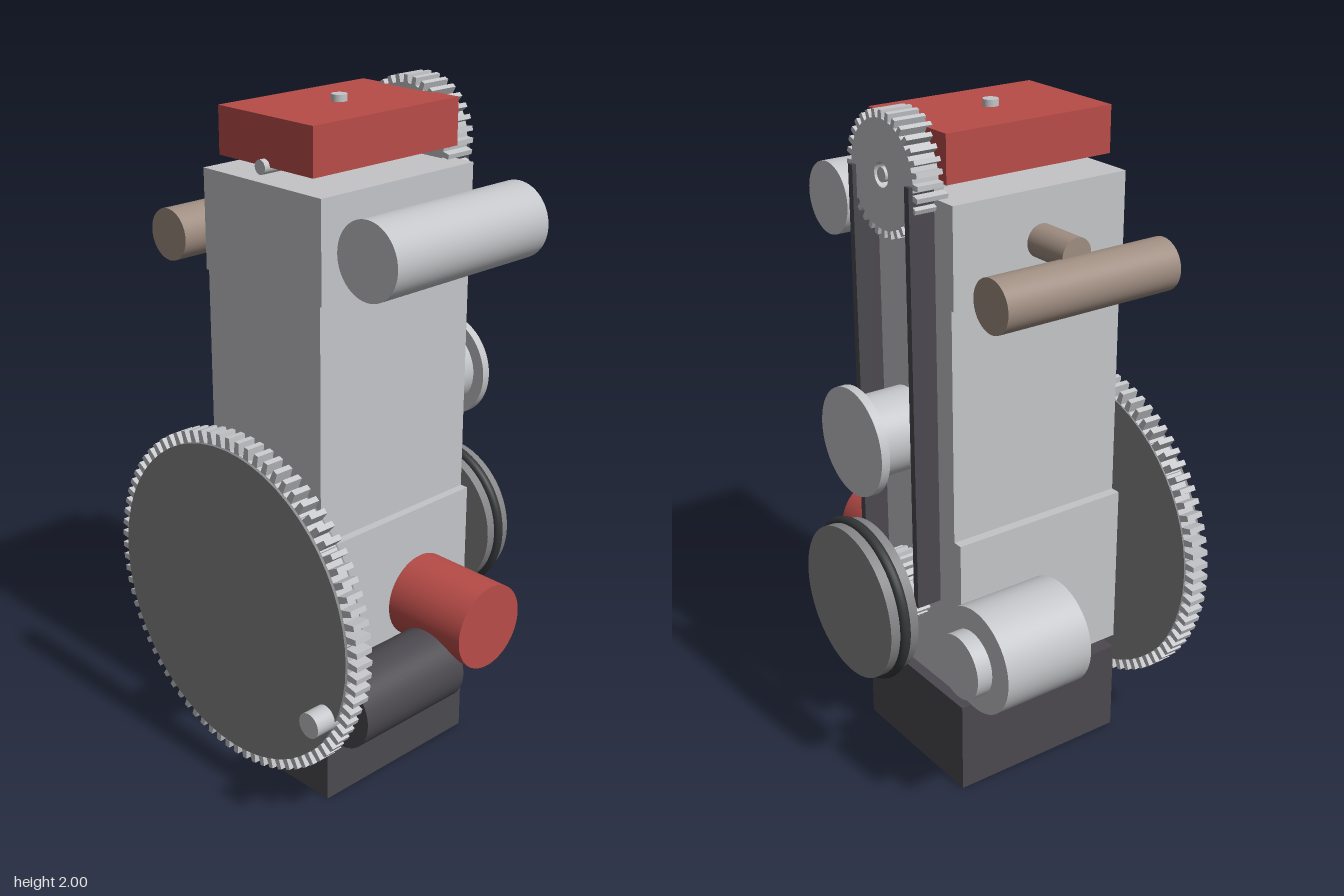
import * as THREE from 'three';

const mat = (name, color) => {
  const m = new THREE.MeshStandardMaterial({ color });
  m.name = name;
  return m;
};

export function createModel() {
  const group = new THREE.Group();
  const metal = mat('light metal', 0xc4c5c8);
  const steel = mat('mid grey steel', 0x858587);
  const dark = mat('dark grey', 0x4b494f);
  const rubber = mat('black rubber', 0x343638);
  const red = mat('red', 0xb84c48);
  const brown = mat('brown exhaust metal', 0x9f8d81);

  const CZ = 0.03; // centre line of the engine in z
  const CX = -0.01; // centre line of the block in x

  const add = (name, geometry, material) => {
    const mesh = new THREE.Mesh(geometry, material);
    mesh.name = name;
    group.add(mesh);
    return mesh;
  };

  // Box given by its extents on each axis
  const box = (name, [x0, x1], [y0, y1], [z0, z1], m) =>
    add(name, new THREE.BoxGeometry(x1 - x0, y1 - y0, z1 - z0), m)
      .position.set((x0 + x1) / 2, (y0 + y1) / 2, (z0 + z1) / 2);

  // Cylinder along an axis, from a to b; u and v are the other two coordinates in xyz order
  const rod = (name, axis, a, b, u, v, r, m) => {
    const g = new THREE.CylinderGeometry(r, r, b - a, 56);
    const c = (a + b) / 2;
    if (axis === 'x') g.rotateZ(-Math.PI / 2).translate(c, u, v);
    else if (axis === 'y') g.translate(u, c, v);
    else g.rotateX(Math.PI / 2).translate(u, v, c);
    add(name, g, m);
  };

  // Toothed ring along x with a round bore
  const gear = (name, x0, x1, y, rRoot, rTip, bore, teeth, m) => {
    const pts = [];
    const step = (Math.PI * 2) / teeth;
    for (let i = 0; i < teeth; i++) {
      for (const [f, r] of [[-0.28, rRoot], [-0.2, rTip], [0.2, rTip], [0.28, rRoot]]) {
        const a = (i + f) * step;
        pts.push(new THREE.Vector2(Math.cos(a) * r, Math.sin(a) * r));
      }
    }
    const shape = new THREE.Shape(pts);
    if (bore) shape.holes.push(new THREE.Path().absarc(0, 0, bore, 0, Math.PI * 2, true));
    const g = new THREE.ExtrudeGeometry(shape, { depth: x1 - x0, bevelEnabled: false, curveSegments: 24 });
    g.rotateY(Math.PI / 2).translate(x0, y, CZ);
    add(name, g, m);
  };

  // Stacked body
  const bodyX = [-0.295, 0.275];
  box('sump', bodyX, [0, 0.285], [-0.22, 0.28], dark);
  box('sumpSpacer', [0.02, 0.215], [0.285, 0.325], [-0.075, 0.14], metal);
  box('crankcase', bodyX, [0.325, 0.82], [-0.22, 0.28], metal);
  box('cylinderBlock', bodyX, [0.82, 1.505], [-0.19, 0.255], metal);
  box('cylinderHead', bodyX, [1.505, 1.79], [-0.2, 0.26], metal);
  box('headCover', [-0.278, 0.26], [1.83, 1.963], [-0.152, 0.213], red);

  // Cover stud, camshaft and cam gear
  rod('coverStud', 'y', 1.79, 1.982, CX, CZ, 0.022, metal);
  rod('studCollar', 'y', 1.79, 1.815, CX, CZ, 0.035, metal);
  rod('camshaft', 'x', -0.295, 0.34, 1.83, CZ, 0.02, metal);
  gear('camGear', 0.244, 0.34, 1.83, 0.148, 0.17, 0.034, 32, metal);

  // Timing belt runs and crank gear
  box('timingBeltFront', [0.275, 0.352], [0.6, 1.83], [0.155, 0.176], dark);
  box('timingBeltRear', [0.275, 0.352], [0.6, 1.83], [-0.117, -0.096], dark);
  gear('crankGear', 0.275, 0.345, 0.6, 0.088, 0.106, 0, 24, metal);

  // Tension pulley
  rod('tensionPulley', 'x', 0.275, 0.437, 1.098, CZ, 0.118, metal);
  rod('tensionPulleyFlange', 'x', 0.437, 0.463, 1.098, CZ, 0.157, metal);

  // Crank pulley with drive belt ring
  rod('crankshaftEnd', 'x', 0.34, 0.41, 0.6, CZ, 0.05, metal);
  rod('crankPulley', 'x', 0.405, 0.495, 0.6, CZ, 0.228, steel);
  const ring = add('pulleyBelt', new THREE.TorusGeometry(0.228, 0.016, 14, 72), rubber);
  ring.rotation.y = Math.PI / 2;
  ring.position.set(0.45, 0.6, CZ);

  // Flywheel with ring gear
  rod('flywheelShaft', 'x', -0.38, -0.295, 0.605, CZ, 0.081, metal);
  rod('flywheel', 'x', -0.438, -0.369, 0.605, CZ, 0.47, steel);
  gear('ringGear', -0.43, -0.374, 0.605, 0.47, 0.505, 0.44, 80, metal);

  // Starter motor and oil filter
  rod('starterMotor', 'x', -0.387, -0.005, 0.412, 0.423, 0.111, dark);
  rod('starterShaft', 'x', -0.5, -0.387, 0.412, 0.422, 0.037, metal);
  rod('oilFilter', 'z', 0.28, 0.551, 0.077, 0.54, 0.126, red);

  // Intake and exhaust manifolds
  rod('intakeManifold', 'x', ...bodyX, 1.663, 0.424, 0.106, metal);
  rod('intakePipe', 'z', 0.255, 0.4, CX, 1.661, 0.052, metal);
  rod('exhaustManifold', 'x', ...bodyX, 1.57, -0.364, 0.075, brown);
  rod('exhaustPipe', 'z', -0.35, -0.2, CX, 1.646, 0.047, brown);

  // Alternator
  rod('alternator', 'x', 0.072, 0.354, 0.573, -0.397, 0.155, metal);
  rod('alternatorShaft', 'x', 0.354, 0.363, 0.573, -0.397, 0.04, metal);
  rod('alternatorPulley', 'x', 0.363, 0.41, 0.573, -0.397, 0.094, metal);

  return group;
}
